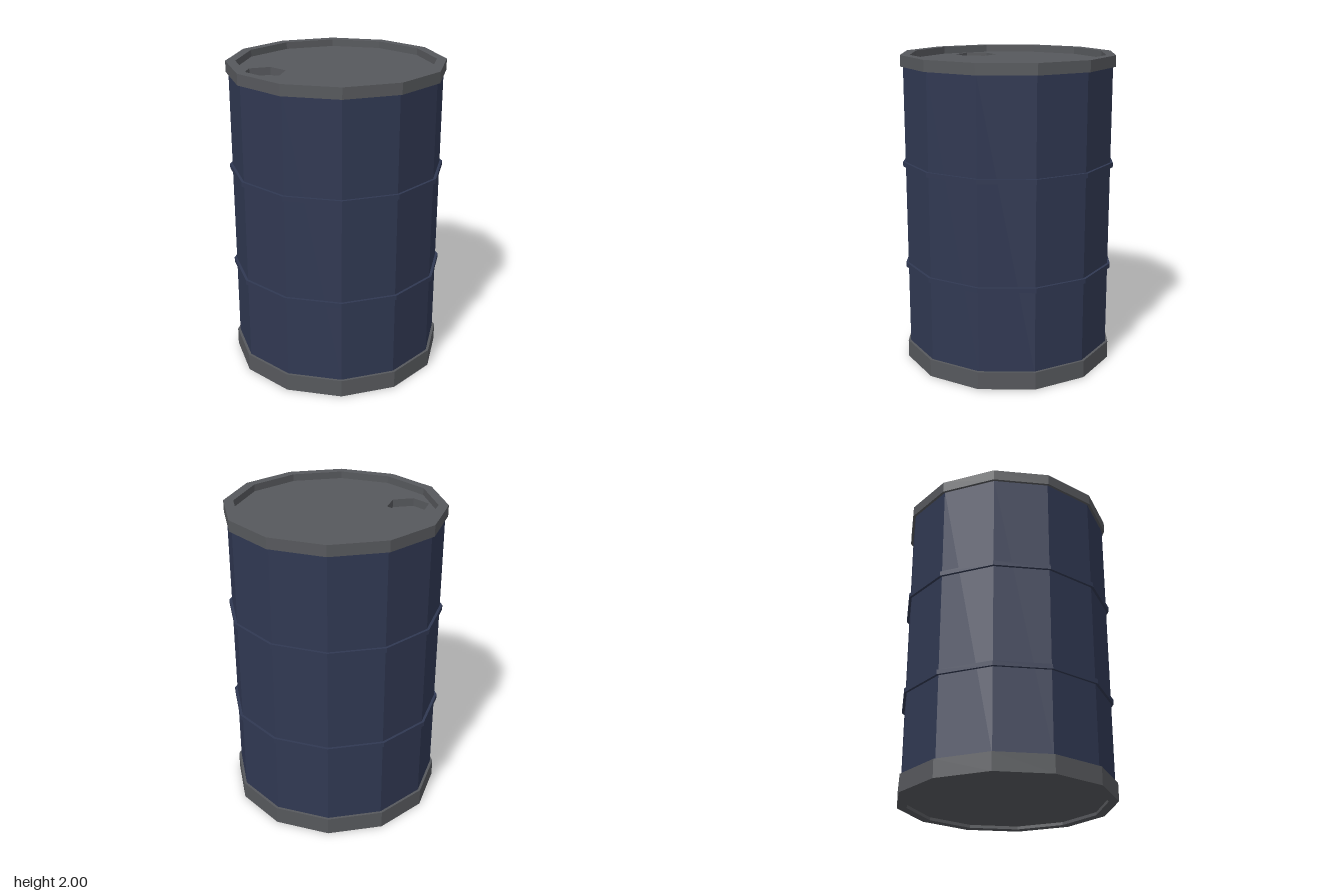
import * as THREE from 'three';

const SIDES = 12;

export function createModel() {
  const barrel = new THREE.Group();
  barrel.name = 'barrel';

  const bluePaint = new THREE.MeshStandardMaterial({ color: 0x303852, flatShading: true });
  bluePaint.name = 'dark blue paint';
  const greyMetal = new THREE.MeshStandardMaterial({ color: 0x56585c, flatShading: true });
  greyMetal.name = 'grey metal';

  const add = (name, geometry, material) => {
    const mesh = new THREE.Mesh(geometry, material);
    mesh.name = name;
    barrel.add(mesh);
    return mesh;
  };
  // Faceted turning of [radius, y] points; outer walls run upward
  const turn = (points, sides = SIDES, start = 0) =>
    new THREE.LatheGeometry(points.map(([r, y]) => new THREE.Vector2(r, y)), sides, start);

  const bodyR = 0.67, rimR = 0.687, innerR = 0.625;
  const lidY = 1.955, baseY = 0.02;

  // Main drum wall
  add('drumWall', turn([[bodyR, 0.1], [bodyR, 1.94]]), bluePaint);

  // Two raised hoops
  for (const [name, y] of [['lowerHoop', 0.647], ['upperHoop', 1.315]]) {
    add(name, turn([[bodyR, y - 0.015], [rimR, y - 0.015], [rimR, y + 0.015], [bodyR, y + 0.015]]), bluePaint);
  }

  // Top rim with the inner wall dropping to the lid
  add('topRim', turn([[bodyR, 1.93], [rimR, 1.93], [rimR, 2], [innerR, 2], [innerR, lidY]]), greyMetal);

  // Bottom rim and recessed base
  add('bottomRim', turn([[0, baseY], [innerR, baseY], [innerR, 0], [rimR, 0], [rimR, 0.113], [bodyR, 0.113]]), greyMetal);

  // Lid with a six-sided filler hole
  const hole = { x: -0.445, z: 0.115, r: 0.134, start: Math.PI / 4 };
  const polygon = (sides, r, start, x, z) =>
    Array.from({ length: sides }, (_, i) => {
      const a = start + (i / sides) * Math.PI * 2;
      return new THREE.Vector2(x + r * Math.sin(a), -(z + r * Math.cos(a)));
    });
  const lidShape = new THREE.Shape(polygon(SIDES, innerR, 0, 0, 0));
  lidShape.holes.push(new THREE.Path(polygon(6, hole.r, hole.start, hole.x, hole.z)));
  add('lid', new THREE.ShapeGeometry(lidShape).rotateX(-Math.PI / 2), greyMetal).position.y = lidY;

  // Sunken cup under the filler hole
  const cup = add('fillerCup', turn([[hole.r, 0], [hole.r, -0.05], [0, -0.05]], 6, hole.start), greyMetal);
  cup.position.set(hole.x, lidY, hole.z);

  return barrel;
}
